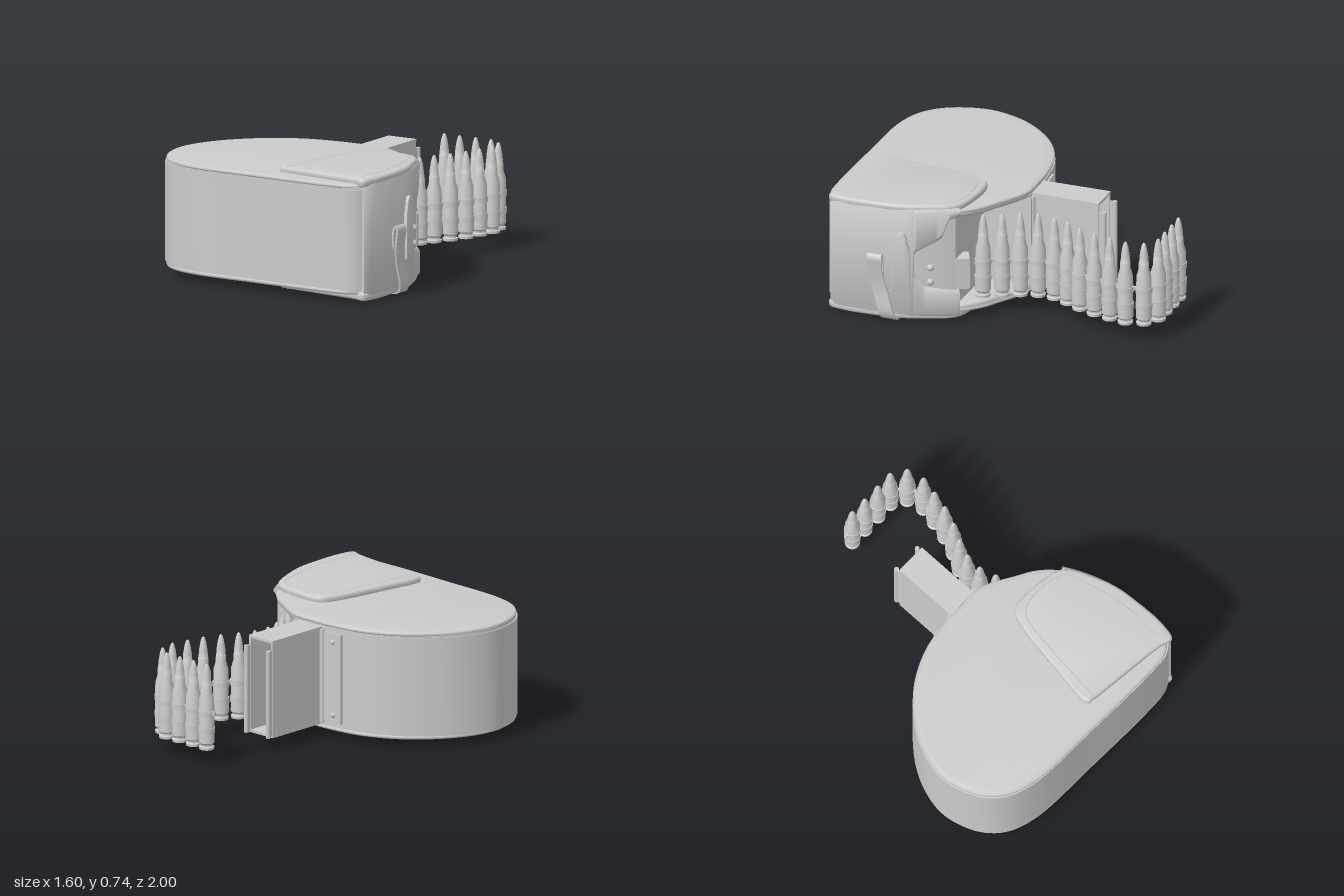
import * as THREE from 'three';
import { toCreasedNormals } from 'three/addons/utils/BufferGeometryUtils.js';

const material = new THREE.MeshStandardMaterial({ color: 0xcccccc, side: THREE.DoubleSide });
const V = (x, y, z) => new THREE.Vector3(x, y, z);
const MID = 0.3725; // mirror height of the bag

function add(parent, name, geometry, x = 0, y = 0, z = 0) {
  const mesh = new THREE.Mesh(geometry, material);
  mesh.name = name;
  mesh.position.set(x, y, z);
  parent.add(mesh);
  return mesh;
}

const box = (parent, name, w, h, d, x, y, z) => add(parent, name, new THREE.BoxGeometry(w, h, d), x, y, z);

// Smooth closed loop through [x, z] points
const loop = (pts, n) => new THREE.CatmullRomCurve3(pts.map(([x, z]) => V(x, 0, z)), true).getPoints(n);

// Plan outline extruded upward from y0 to y1, rounded by an inward bevel
function slab(points, y0, y1, bevel = 0) {
  const shape = new THREE.Shape(points.map(p => new THREE.Vector2(p.x, -p.z)));
  const geo = new THREE.ExtrudeGeometry(shape, {
    depth: y1 - y0 - 2 * bevel, bevelEnabled: bevel > 0, bevelSize: bevel,
    bevelThickness: bevel, bevelOffset: -bevel, bevelSegments: 4,
  });
  geo.rotateX(-Math.PI / 2).translate(0, y0 + bevel, 0);
  return toCreasedNormals(geo, 0.7);
}

// Skin through equal cross-section rings, closed at both ends
function loft(rings) {
  const n = rings[0].length, index = [];
  for (let i = 0; i < rings.length - 1; i++) {
    for (let j = 0; j < n; j++) {
      const a = i * n + j, b = i * n + (j + 1) % n;
      index.push(a, b, a + n, b, b + n, a + n);
    }
  }
  const last = (rings.length - 1) * n;
  for (let j = 1; j < n - 1; j++) index.push(0, j + 1, j, last, last + j, last + j + 1);
  const geo = new THREE.BufferGeometry().setFromPoints(rings.flat());
  geo.setIndex(index);
  return toCreasedNormals(geo, 0.7);
}

// Linear interpolation in a short table of [key, value]
function table(rows, k) {
  for (let i = 1; i < rows.length; i++) {
    const [a, va] = rows[i - 1], [b, vb] = rows[i];
    if (k <= b) return va + (vb - va) * Math.max(0, (k - a) / (b - a));
  }
  return rows[rows.length - 1][1];
}

const OUTLINE = [
  [0.2, -0.085], [0.3, -0.04], [0.4, 0.02], [0.5, 0.08], [0.59, 0.17], [0.66, 0.3], [0.71, 0.45],
  [0.73, 0.6], [0.735, 0.8], [0.715, 0.92], [0.64, 0.98], [0.5, 0.993], [0, 0.985], [-0.45, 0.965],
  [-0.63, 0.9], [-0.74, 0.78], [-0.8, 0.57], [-0.77, 0.4], [-0.68, 0.23], [-0.5, 0.05],
  [-0.3, -0.05], [-0.1, -0.085], [0.05, -0.09],
];
const outline = loop(OUTLINE, 160);
const sideRows = outline.filter(p => p.x > 0.3 && p.z < 0.94).map(p => [p.z, p.x]);
const sideX = z => table(sideRows, z);

// Point on the +x side of the bag, pushed out along its normal
function onSide(z, y, off) {
  const slope = (sideX(z + 0.04) - sideX(z - 0.04)) / 0.08;
  const k = off / Math.hypot(1, slope);
  return V(sideX(z) + k, y, z - slope * k);
}

// Curved leather panel over the side, between two height rules
function sidePanel(z0, z1, low, high, n = 16) {
  const rings = [];
  for (let i = 0; i <= n; i++) {
    const z = z0 + (z1 - z0) * i / n, a = low(z), b = high(z), c = Math.min(0.02, (b - a) / 3);
    rings.push([onSide(z, a, -0.02), onSide(z, a, 0.006), onSide(z, a + c, 0.02),
      onSide(z, b - c, 0.02), onSide(z, b, 0.006), onSide(z, b, -0.02)]);
  }
  return loft(rings);
}

function addBag(model) {
  const bag = new THREE.Group();
  bag.name = 'bag';
  model.add(bag);

  // Wall with a notch at the back corner where the belt leaves
  const wall = outline.filter(p => !(p.x >= 0.195 && p.z < 0.2));
  wall.push(V(0.195, 0, -0.085), V(0.195, 0, 0.2));
  add(bag, 'wall', slab(wall, 0.08, 0.665));

  const flap = loop([[0.1, 0.86], [0.125, 0.6], [0.19, 0.24], [0.23, 0.165], [0.3, 0.145], [0.57, 0.18],
    [0.63, 0.23], [0.69, 0.36], [0.735, 0.5], [0.75, 0.65], [0.75, 0.85], [0.72, 0.95], [0.64, 0.93], [0.15, 0.872]], 90);
  const seam = new THREE.CatmullRomCurve3([[0.15, 0.86], [0.19, 0.5], [0.24, 0.25], [0.3, 0.2], [0.57, 0.225],
    [0.64, 0.4], [0.68, 0.65], [0.67, 0.88]].map(([x, z]) => V(x, 0.731, z)));

  // Lid and base are mirror images
  for (const top of [true, false]) {
    const name = top ? 'top' : 'bottom';
    const span = (a, b) => top ? [a, b] : [2 * MID - b, 2 * MID - a];
    const inset = outline.map(p => V(p.x * 0.99, 0, 0.45 + (p.z - 0.45) * 0.99));
    add(bag, name + 'Cover', slab(inset, ...span(0.645, 0.697), 0.022));
    add(bag, name + 'Flap', slab(flap, ...span(0.68, 0.732), 0.018));
    const rim = new THREE.CatmullRomCurve3(inset.slice(0, -1).map(p => V(p.x * 0.985, 0, 0.45 + (p.z - 0.45) * 0.985)), true);
    add(bag, name + 'Piping', new THREE.TubeGeometry(rim, 160, 0.013, 8, true), 0, top ? 0.683 : 2 * MID - 0.683, 0);
    const stitch = add(bag, name + 'FlapSeam', new THREE.TubeGeometry(seam, 50, 0.003, 5));
    if (!top) stitch.position.y = 2 * MID - 2 * 0.731;
  }

  // Side cover joining both flaps, cut away around the clasp
  add(bag, 'sideCover', sidePanel(0.43, 0.935, () => 0.03, () => 0.715));
  const upper = [[0.17, 0.67], [0.24, 0.64], [0.28, 0.53], [0.31, 0.505], [0.42, 0.44], [0.43, 0.42]];
  const lower = [[0.17, 0.19], [0.24, 0.2], [0.37, 0.22], [0.42, 0.28], [0.43, 0.3]];
  add(bag, 'sideCoverUpper', sidePanel(0.19, 0.43, z => table(upper, z), () => 0.71, 24));
  add(bag, 'sideCoverLower', sidePanel(0.19, 0.43, () => 0.035, z => table(lower, z), 24));

  // Clasp block and rivets
  box(bag, 'claspBlock', 0.1, 0.19, 0.09, 0.555, 0.295, 0.195).rotation.y = 0.45;
  for (const y of [0.25, 0.34]) {
    add(bag, 'claspRivet', new THREE.SphereGeometry(0.021, 14, 10)).position.copy(onSide(0.34, y, 0.002));
  }

  // Raised cartridge-shaped tab
  const half = [[0.045, 0], [0.045, 0.26], [0.03, 0.3], [0.028, 0.33], [0.012, 0.355]];
  const tabShape = new THREE.Shape([...half, ...half.map(([x, y]) => [-x, y]).reverse()].map(([x, y]) => new THREE.Vector2(x, y)));
  const tab = add(bag, 'cartridgeTab', toCreasedNormals(new THREE.ExtrudeGeometry(tabShape,
    { depth: 0.02, bevelSize: 0.005, bevelThickness: 0.008, bevelSegments: 2 }), 0.6));
  tab.position.copy(onSide(0.5, 0.203, 0.01));
  tab.rotation.y = Math.PI / 2 + 0.17;

  // Strap running under the bag and looping up the side
  const path = new THREE.CatmullRomCurve3([[0.42, 0.01], [0.6, 0.008], [0.74, 0.012], [0.765, 0.05], [0.765, 0.2],
    [0.785, 0.35], [0.79, 0.4], [0.778, 0.415], [0.764, 0.39], [0.756, 0.28]].map(([x, y]) => V(x, y, 0)));
  const rings = [];
  for (let i = 0; i <= 48; i++) {
    const p = path.getPoint(i / 48), t = path.getTangent(i / 48);
    const nx = -t.y * 0.006, ny = t.x * 0.006, z = 0.565 + 0.08 * Math.min(1, p.y / 0.3);
    rings.push([V(p.x + nx, p.y + ny, z - 0.045), V(p.x + nx, p.y + ny, z + 0.045),
      V(p.x - nx, p.y - ny, z + 0.045), V(p.x - nx, p.y - ny, z - 0.045)]);
  }
  add(bag, 'strap', loft(rings));
}

function addChute(model) {
  const chute = new THREE.Group();
  chute.name = 'feedChute';
  model.add(chute);
  // Hollow rectangular tunnel, open at the back
  for (const y of [0.088, 0.657]) box(chute, 'chutePlate', 0.19, 0.016, 0.58, 0.065, y, -0.21);
  for (const x of [-0.022, 0.152]) {
    box(chute, 'chuteSide', 0.014, 0.57, 0.58, x, 0.372, -0.21);
    box(chute, 'chuteLip', 0.008, 0.52, 0.04, x, 0.35, -0.515);
    add(chute, 'lipRod', new THREE.CylinderGeometry(0.014, 0.014, 0.525, 12), x, 0.348, -0.53);
  }
  // Mounting flanges with rivets
  box(chute, 'mountPlate', 0.15, 0.54, 0.02, -0.105, 0.372, -0.086).rotation.y = 0.06;
  box(chute, 'mountPlate', 0.04, 0.54, 0.02, 0.18, 0.372, -0.086);
  for (const x of [-0.037, 0.168]) {
    add(chute, 'mountBead', new THREE.CylinderGeometry(0.016, 0.016, 0.56, 10), x, 0.372, -0.096);
  }
  for (const y of [0.15, 0.59]) add(chute, 'mountRivet', new THREE.SphereGeometry(0.016, 12, 8), -0.12, y, -0.094);
}

function addBelt(model) {
  const belt = new THREE.Group();
  belt.name = 'ammunitionBelt';
  model.add(belt);
  const spots = [[0.06, -0.955], [0.165, -0.955], [0.275, -0.955], [0.38, -0.955], [0.465, -0.9], [0.49, -0.795],
    [0.47, -0.69], [0.445, -0.585], [0.405, -0.48], [0.355, -0.385], [0.318, -0.288], [0.312, -0.185],
    [0.34, -0.085], [0.385, 0.01], [0.43, 0.11]];
  const profile = [[0, 0.1], [0.044, 0.1], [0.045, 0.115], [0.037, 0.12], [0.037, 0.13], [0.046, 0.14], [0.044, 0.4],
    [0.031, 0.445], [0.03, 0.485], [0.028, 0.488], [0.025, 0.53], [0.018, 0.575], [0.009, 0.605], [0, 0.613]];
  const cartridge = toCreasedNormals(new THREE.LatheGeometry(profile.map(([r, y]) => new THREE.Vector2(r, y)), 20), 0.6);
  const ring = new THREE.CylinderGeometry(0.049, 0.049, 0.035, 20);
  spots.forEach(([x, z], i) => {
    add(belt, 'cartridge', cartridge, x, 0, z);
    for (const y of [0.215, 0.315]) add(belt, 'linkRing', ring, x, y, z);
    // Link to the next cartridge, or the loose end of the belt
    const [px, pz] = i ? spots[i - 1] : [-0.005, -0.95];
    const link = box(belt, 'link', Math.hypot(x - px, z - pz), 0.022, 0.014, (x + px) / 2, 0.32, (z + pz) / 2);
    link.rotation.y = -Math.atan2(z - pz, x - px);
  });
}

export function createModel() {
  const model = new THREE.Group();
  model.name = 'ammunitionBag';
  addBag(model);
  addChute(model);
  addBelt(model);
  return model;
}
